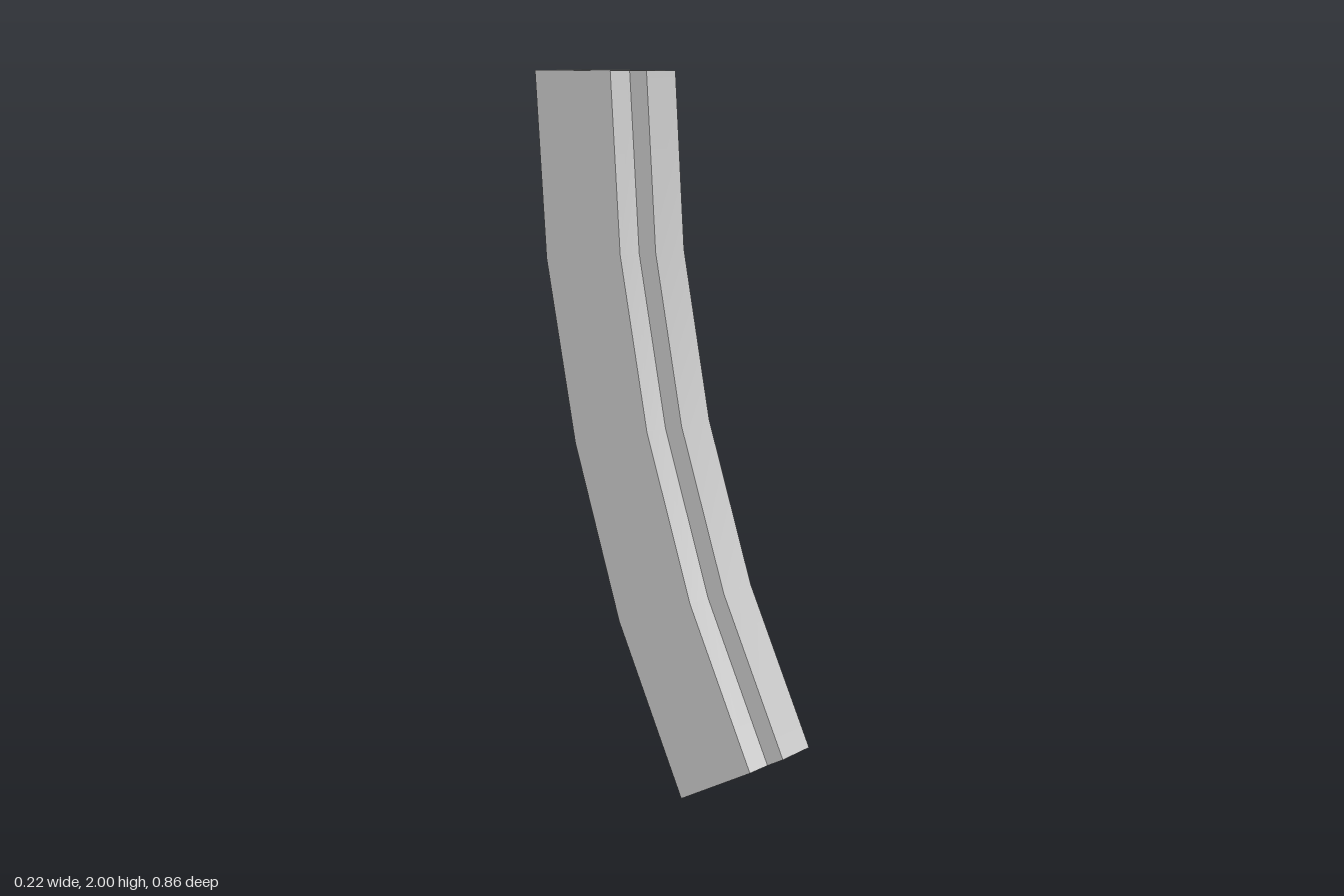
import * as THREE from 'three';
import { toCreasedNormals } from 'three/addons/utils/BufferGeometryUtils.js';

// Cross-section, anticlockwise from above: x, and t from the front rib (0) to the back (1)
const half = [[0.058, 0], [0.058, 0.165], [0.11, 0.225], [0.11, 1]];
const section = [...half.map(([x, t]) => [-x, t]).reverse(), ...half];

// Stations down the curve: front z, y and back z, y
const stations = [
  [-0.059, 2, -0.428, 2],
  [-0.028, 1.52, -0.394, 1.482],
  [0.065, 1.055, -0.29, 0.966],
  [0.218, 0.61, -0.124, 0.47],
  [0.428, 0.187, 0.11, 0],
];

const pocket = { x: 0.04, z0: -0.395, z1: -0.093, depth: 0.03 };

function place([x, t], [fz, fy, bz, by]) {
  return [x, THREE.MathUtils.lerp(fy, by, t), THREE.MathUtils.lerp(fz, bz, t)];
}

function geometryFrom(positions) {
  const g = new THREE.BufferGeometry();
  g.setAttribute('position', new THREE.Float32BufferAttribute(positions.flat(), 3));
  return g;
}

// Curved walls, smooth along the length and sharp at the section's corners
function wallGeometry() {
  const p = [];
  const n = section.length;
  for (let i = 0; i < stations.length - 1; i++) {
    for (let j = 0; j < n; j++) {
      const k = (j + 1) % n;
      const a = place(section[j], stations[i]);
      const b = place(section[k], stations[i]);
      const c = place(section[k], stations[i + 1]);
      const d = place(section[j], stations[i + 1]);
      p.push(d, c, b, d, b, a);
    }
  }
  return toCreasedNormals(geometryFrom(p), 0.5);
}

// Slanted closed end, facing down
function bottomGeometry() {
  const outline = section.map(([x, t]) => new THREE.Vector2(x, t));
  const end = stations[stations.length - 1];
  const p = [];
  for (const [a, b, c] of THREE.ShapeUtils.triangulateShape(outline, [])) {
    p.push(place(section[a], end), place(section[c], end), place(section[b], end));
  }
  const g = geometryFrom(p);
  g.computeVertexNormals();
  return g;
}

// Flat upper end with an opening for the pocket
function topGeometry() {
  const shape = new THREE.Shape(section.map((s) => {
    const [x, , z] = place(s, stations[0]);
    return new THREE.Vector2(x, -z);
  }));
  const { x, z0, z1 } = pocket;
  shape.holes.push(new THREE.Path([
    new THREE.Vector2(-x, -z0), new THREE.Vector2(x, -z0),
    new THREE.Vector2(x, -z1), new THREE.Vector2(-x, -z1),
  ]));
  return new THREE.ShapeGeometry(shape).rotateX(-Math.PI / 2).translate(0, 2, 0);
}

// Inside of the shallow pocket: four walls and a floor facing inwards
function pocketGeometry() {
  const { x, z0, z1, depth } = pocket;
  const box = new THREE.BoxGeometry(2 * x, depth, z1 - z0).toNonIndexed();
  const source = box.attributes.position;
  const p = [];
  for (let i = 0; i < source.count; i += 3) {
    const tri = [0, 2, 1].map((k) => new THREE.Vector3().fromBufferAttribute(source, i + k).toArray());
    if (tri.every((v) => v[1] > 0)) continue; // leave the opening
    p.push(...tri);
  }
  const g = geometryFrom(p).translate(0, 2 - depth / 2, (z0 + z1) / 2);
  g.computeVertexNormals();
  return g;
}

export function createModel() {
  const group = new THREE.Group();
  group.name = 'curvedMagazine';
  const material = new THREE.MeshStandardMaterial({ color: 0xcccccc });
  const add = (name, geometry) => {
    const mesh = new THREE.Mesh(geometry, material);
    mesh.name = name;
    group.add(mesh);
  };
  add('curvedBody', wallGeometry());
  add('basePlate', bottomGeometry());
  add('topRim', topGeometry());
  add('topPocket', pocketGeometry());
  return group;
}
